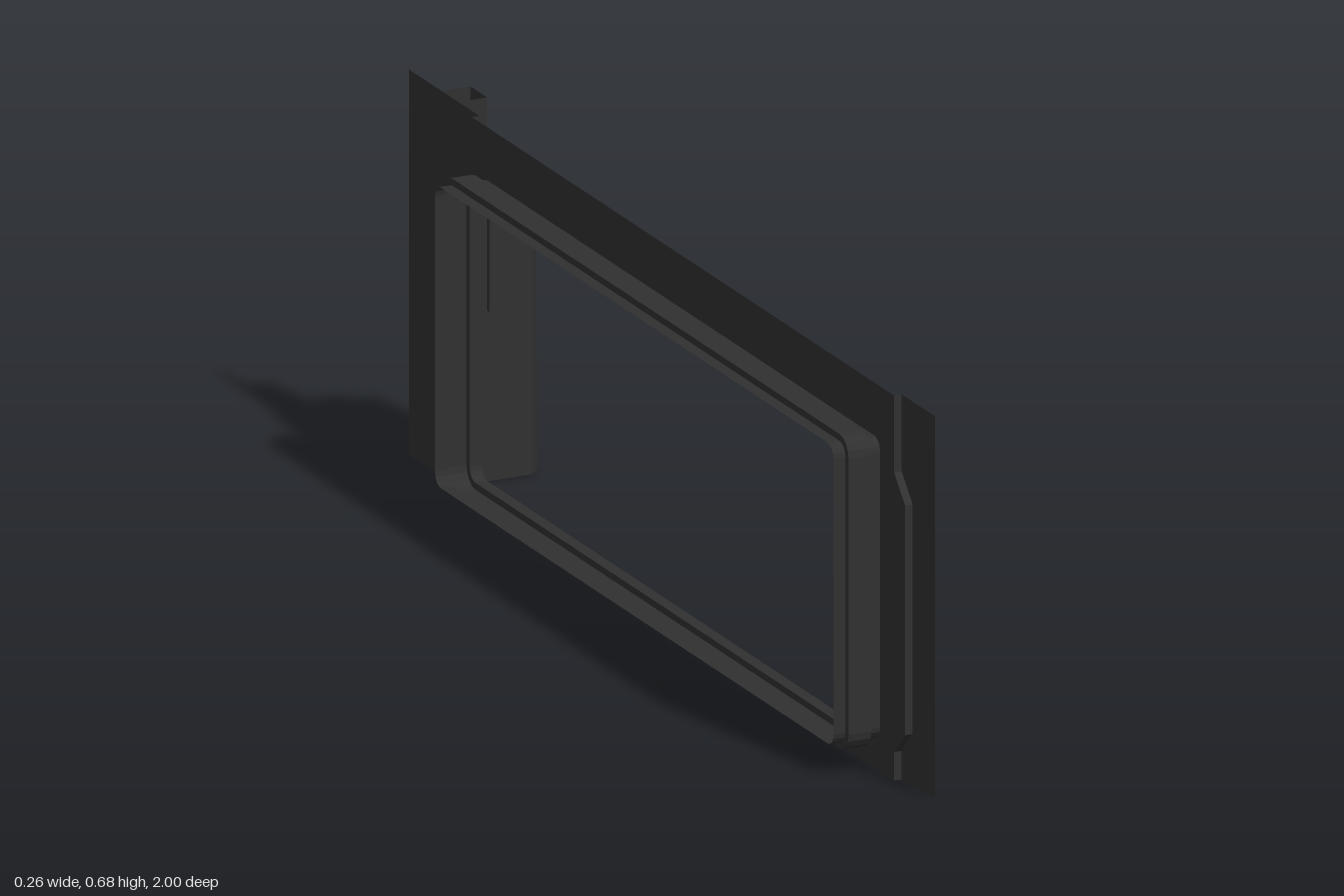
import * as THREE from 'three';

const Y0 = 0.005, Y1 = 0.68;      // panel bottom and top
const SKIN = -0.044, RAISED = -0.03; // x of the recessed and raised sheets

const charcoal = new THREE.MeshStandardMaterial({ color: 0x303030, side: THREE.DoubleSide });

function add(group, name, geometry) {
  const mesh = new THREE.Mesh(geometry, charcoal);
  mesh.name = name;
  group.add(mesh);
}

// Joins successive cross-section rings of [x, y, z] points with flat quads
function loft(rings, closed = false) {
  const pos = [];
  for (let r = 0; r < rings.length - 1; r++) {
    const a = rings[r], b = rings[r + 1], n = a.length;
    for (let i = 0; i < (closed ? n : n - 1); i++) {
      const j = (i + 1) % n;
      pos.push(...a[i], ...b[i], ...b[j], ...a[i], ...b[j], ...a[j]);
    }
  }
  const g = new THREE.BufferGeometry();
  g.setAttribute('position', new THREE.Float32BufferAttribute(pos, 3));
  g.computeVertexNormals();
  return g;
}

const shapeOf = (pts) => new THREE.Shape(pts.map(([a, b]) => new THREE.Vector2(a, b)));

// Sheet in the side plane; points are [z, y]
function sideSheet(pts, x, hole) {
  const shape = shapeOf(pts.map(([z, y]) => [-z, y]));
  if (hole) shape.holes.push(new THREE.Path(hole.map(([z, y]) => new THREE.Vector2(-z, y))));
  return new THREE.ShapeGeometry(shape).rotateY(Math.PI / 2).translate(x, 0, 0);
}

// Rounded window outline as [z, y], grown by an offset
function windowLoop(grow) {
  const hz = 0.7575 + grow, hy = 0.2635 + grow, r = 0.022 + grow, pts = [];
  const corners = [[1, 1], [-1, 1], [-1, -1], [1, -1]];
  corners.forEach(([sz, sy], k) => {
    for (let i = 0; i <= 4; i++) {
      const a = (k + i / 4) * Math.PI / 2;
      pts.push([0.0625 + sz * (hz - r) + r * Math.cos(a), 0.3235 + sy * (hy - r) + r * Math.sin(a)]);
    }
  });
  return pts;
}

// Kinked joint between the recessed skin and a raised end, bottom to top
const joint = (edge, belly) => [
  [edge, Y0], [edge, 0.055], [belly, 0.097], [belly, 0.5], [edge, 0.545], [edge, Y1],
];

export function createModel() {
  const model = new THREE.Group();
  model.name = 'windowPanel';

  // Recessed skin with window opening
  const frontJoint = joint(0.873, 0.915), rearJoint = joint(-0.732, -0.777);
  add(model, 'windowSkin', sideSheet([...frontJoint, ...rearJoint.slice().reverse()], SKIN, windowLoop(0)));

  // Raised end sheets and the small steps beside them
  for (const [name, line, end, low] of [['front', frontJoint, 1, 0.01], ['rear', rearJoint, -1, Y0]]) {
    add(model, name + 'EndSheet', sideSheet([...line, [end, Y1], [end, low]], RAISED));
    add(model, name + 'Step', loft([SKIN, RAISED].map((x) => line.map(([z, y]) => [x, y, z]))));
  }

  // Window reveal with a wider channel half way
  const reveal = [[SKIN, 0], [-0.066, 0], [-0.066, 0.012], [-0.108, 0.012], [-0.108, 0], [-0.13, 0]];
  add(model, 'windowReveal', loft(reveal.map(([x, grow]) => windowLoop(grow).map(([z, y]) => [x, y, z])), true));

  // Hollow pillar that widens into a bracket at its foot
  const zf = -0.818, zb = -0.882, zc = -0.836;
  const pillar = new THREE.Group();
  pillar.name = 'pillar';
  model.add(pillar);
  const inner = [[RAISED, Y0], [RAISED, 0.678], [0.026, 0.678], [0.026, 0.305], [0.11, 0.219], [0.11, Y0]];
  const outer = inner.map(([x, y]) => (x === 0.11 ? [0.128, y === Y0 ? Y0 : 0.2] : [x, y]));
  add(pillar, 'pillarFront', new THREE.ShapeGeometry(shapeOf(inner)).translate(0, 0, zf));
  add(pillar, 'pillarBack', new THREE.ShapeGeometry(shapeOf(outer)).rotateY(Math.PI).scale(-1, 1, 1).translate(0, 0, zb));
  // Outer wall: pillar side, sloping shoulder, bevel and bracket side
  const ring = (pts, z) => pts.slice(2).map(([x, y]) => [x, y, z]);
  const bevel = ring(outer, zc).map((p, i) => (i < 2 ? [p[0], p[1], zf] : p));
  add(pillar, 'pillarSide', loft([ring(inner, zf), bevel, ring(outer, zb)]));

  // Bevelled handle block standing on the shoulder
  const face = [[0.03, 0.301], [0.03, 0.547], [0.069, 0.547], [0.11, 0.505], [0.11, 0.219]];
  const back = [[0.03, 0.301], [0.03, 0.547], [0.069, 0.547], [0.125, 0.49], [0.125, 0.203]];
  const at = (pts, z) => pts.map(([x, y]) => [x, y, z]);
  const middle = at(back, zc).map((p, i) => (i < 3 ? [p[0], p[1], zf] : p));
  const handle = new THREE.Group();
  handle.name = 'handle';
  model.add(handle);
  add(handle, 'handleFront', new THREE.ShapeGeometry(shapeOf(face)).translate(0, 0, zf));
  add(handle, 'handleBack', new THREE.ShapeGeometry(shapeOf(back)).rotateY(Math.PI).scale(-1, 1, 1).translate(0, 0, zb));
  add(handle, 'handleSides', loft([at(face, zf), middle, at(back, zb)], true));

  return model;
}
